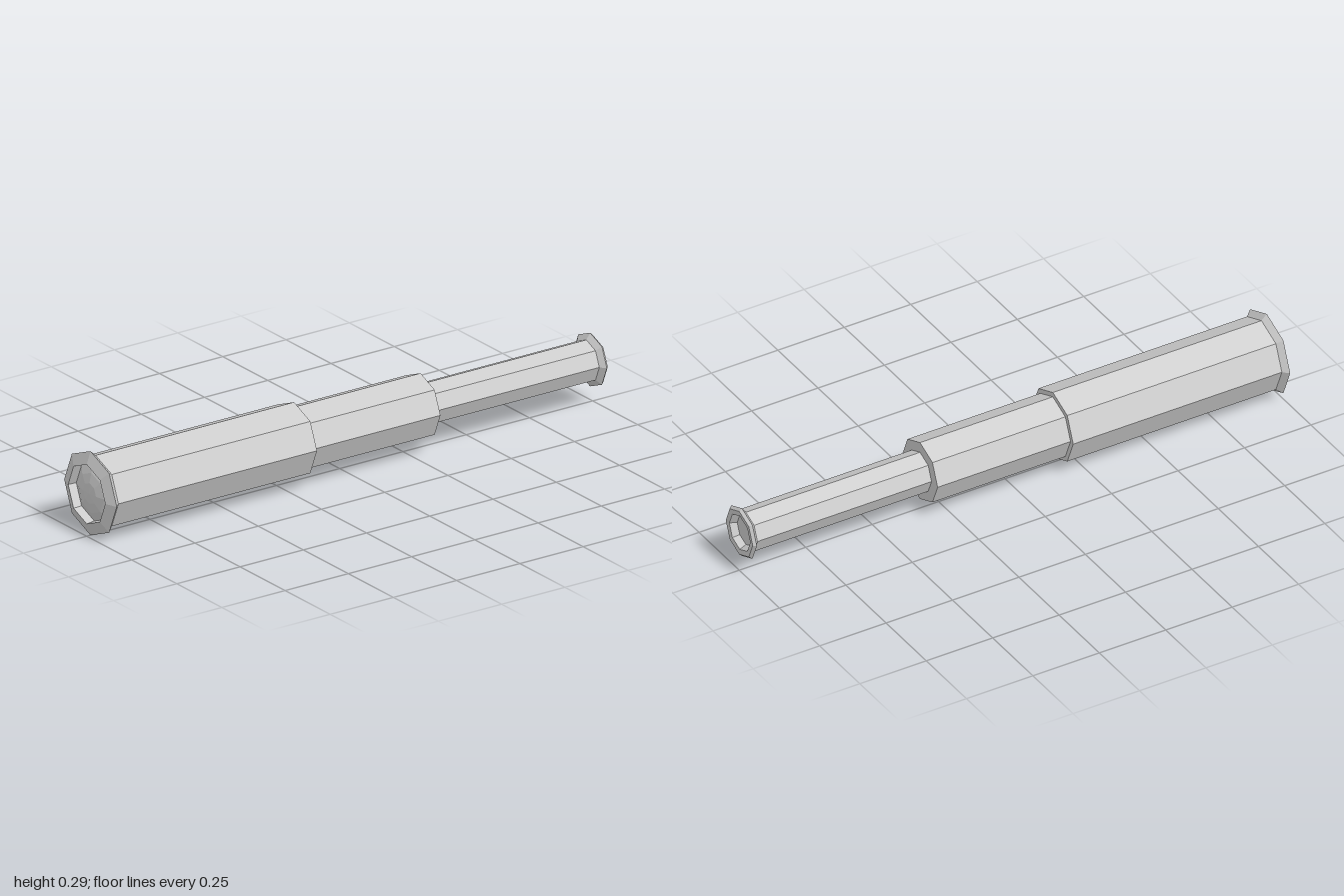
import * as THREE from 'three';

const CENTRE_Y = 0.147;
const material = new THREE.MeshStandardMaterial({ color: 0xcccccc, flatShading: true });

// Eight-sided turned part lying along z; profile is [radius, z] from back to front
function turned(name, profile) {
  const points = profile.map(([r, z]) => new THREE.Vector2(r, z));
  const geometry = new THREE.LatheGeometry(points, 8);
  geometry.rotateX(Math.PI / 2);
  const mesh = new THREE.Mesh(geometry, material);
  mesh.name = name;
  mesh.position.y = CENTRE_Y;
  return mesh;
}

export function createModel() {
  const group = new THREE.Group();
  group.name = 'spyglass';

  // Three telescoping sections with stepped back ends
  group.add(turned('frontTube', [[0.108, 0.18], [0.127, 0.18], [0.127, 0.965]]));
  group.add(turned('middleTube', [[0.07, -0.32], [0.11, -0.32], [0.11, 0.18]]));
  group.add(turned('rearTube', [[0.072, -0.975], [0.072, -0.32]]));

  // Flared front rim with a recessed inner wall
  group.add(turned('frontRim', [
    [0.127, 0.965], [0.146, 0.985], [0.103, 1], [0.1, 0.97],
  ]));

  // Shallow domed lens
  group.add(turned('lens', [[0.1, 0.97], [0.07, 0.982], [0.036, 0.989], [0, 0.991]]));

  // Flared eyepiece rim with its recess
  group.add(turned('eyepieceRim', [
    [0.054, -0.975], [0.065, -0.998], [0.084, -1], [0.093, -0.99], [0.072, -0.975],
  ]));
  group.add(turned('eyepieceGlass', [[0, -0.975], [0.054, -0.975]]));

  return group;
}
